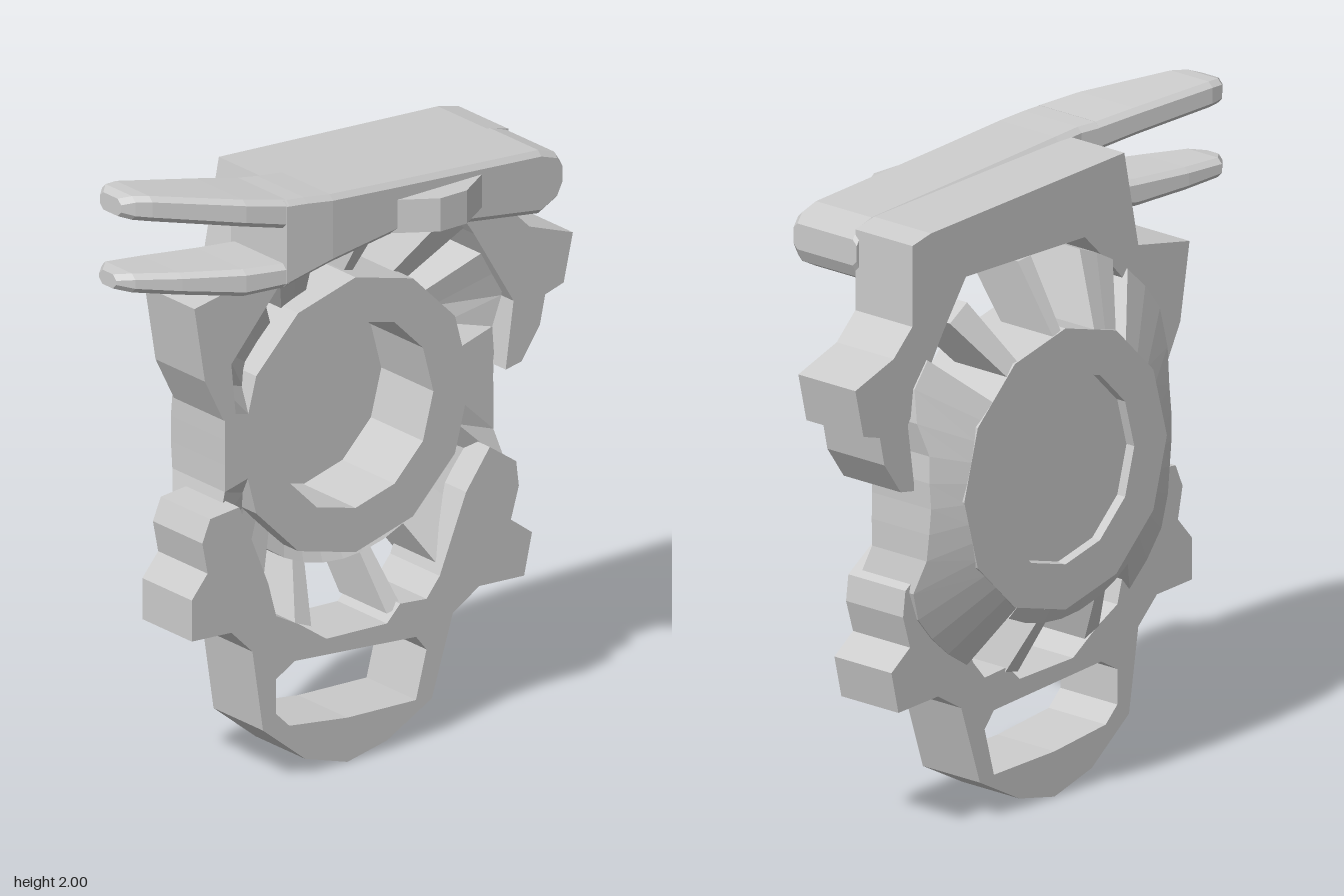
import * as THREE from 'three';

const mat = new THREE.MeshStandardMaterial({ color: 0xcccccc, flatShading: true });
const CU = 0.08, CY = 1.06; // hub centre, u = -z

function add(group, name, geo) {
  const m = new THREE.Mesh(geo, mat);
  m.name = name;
  group.add(m);
}

const vecs = (pts) => pts.map(([u, y]) => new THREE.Vector2(u, y));

// Side profile in (u = -z, y), extruded along x from x0 to x1
function slab(pts, x0, x1, holes = []) {
  const shape = new THREE.Shape(vecs(pts));
  holes.forEach((h) => shape.holes.push(new THREE.Path(vecs(h))));
  const g = new THREE.ExtrudeGeometry(shape, { depth: x1 - x0, bevelEnabled: false });
  return g.rotateY(Math.PI / 2).translate(x0, 0, 0);
}

const circle = (r, n = 12) => Array.from({ length: n }, (_, i) => {
  const a = (i / n) * Math.PI * 2;
  return [CU + r * Math.cos(a), CY + r * Math.sin(a)];
});

// Solid through matching cross-section loops, capped at both ends
function loft(sections) {
  const pos = [], n = sections[0].length;
  const tri = (a, b, c) => pos.push(...a, ...b, ...c);
  for (let i = 0; i + 1 < sections.length; i++) {
    const p = sections[i], q = sections[i + 1];
    for (let k = 0; k < n; k++) {
      const j = (k + 1) % n;
      tri(p[k], q[k], q[j]);
      tri(p[k], q[j], p[j]);
    }
  }
  const first = sections[0], last = sections[sections.length - 1];
  for (let k = 1; k + 1 < n; k++) {
    tri(first[0], first[k], first[k + 1]);
    tri(last[0], last[k + 1], last[k]);
  }
  const g = new THREE.BufferGeometry();
  g.setAttribute('position', new THREE.Float32BufferAttribute(pos, 3));
  g.computeVertexNormals();
  return g;
}

// Piecewise linear lookup through [key, value] pairs
function ramp(t, pts) {
  if (t <= pts[0][0]) return pts[0][1];
  for (let i = 1; i < pts.length; i++) {
    if (t <= pts[i][0]) {
      const [a, va] = pts[i - 1], [b, vb] = pts[i];
      return va + ((vb - va) * (t - a)) / (b - a);
    }
  }
  return pts[pts.length - 1][1];
}

// Sloped sector between the hub ring and the frame, drawn in at both sides
function sector(a0, a1, rMax = 0.64) {
  const n = Math.max(1, Math.round((a1 - a0) / 9));
  return loft(Array.from({ length: n + 1 }, (_, i) => {
    const a = THREE.MathUtils.degToRad(a0 + ((a1 - a0) * i) / n);
    const c = Math.cos(a), s = Math.sin(a);
    const tilt = THREE.MathUtils.radToDeg(Math.asin(Math.abs(s)));
    const R = Math.min(rMax, ramp(tilt, [[0, c < 0 ? 0.49 : 0.52], [17, c < 0 ? 0.515 : 0.54], [30, 0.63], [90, 0.64]]));
    const xOut = -0.33 + ((R - 0.43) / 0.21) * 0.12;
    const xIn = ramp(tilt, [[17, -0.04], [27, -0.12]]);
    const xRim = ramp(tilt, [[17, -0.04], [27, -0.12 + ((R - 0.42) / 0.22) * 0.13]]);
    return [[0.42, -0.33], [R, xOut], [R, xRim], [0.42, xIn]]
      .map(([r, x]) => [x, CY + r * s, -(CU + r * c)]);
  }));
}

// Arm piece with chamfered edges from [z, y0, y1] stations
function armPiece(stations) {
  return loft(stations.map(([z, y0, y1]) => {
    const x0 = ramp(z, [[0.32, 0.005], [0.78, -0.115], [0.82, -0.115], [0.86, -0.08]]);
    const x1 = ramp(z, [[0.25, 0.26], [0.42, 0.24], [0.53, 0.2], [0.8, 0.06], [0.86, 0]]);
    const c = 0.016;
    return [
      [x0, y0 + c], [x0, y1 - c], [x0 + c, y1], [x1 - c, y1],
      [x1, y1 - c], [x1, y0 + c], [x1 - c, y0], [x0 + c, y0],
    ].map(([x, y]) => [x, y, z]);
  }));
}

export function createModel() {
  const model = new THREE.Group();
  model.name = 'bracket';

  // Upper arch of the frame
  add(model, 'upperFrame', slab([
    [-0.42, 1.17], [-0.44, 1.37], [-0.27, 1.56], [-0.13, 1.7], [0.38, 1.7], [0.48, 1.55],
    [0.63, 1.3], [0.6, 1.09], [0.66, 1.1], [0.73, 1.2], [0.75, 1.29], [0.82, 1.31],
    [0.855, 1.46], [0.69, 1.52], [0.61, 1.6], [0.61, 1.85], [0.53, 1.87], [-0.3, 1.92],
    [-0.36, 1.62], [-0.58, 1.58], [-0.54, 1.34], [-0.47, 1.2],
  ], -0.21, 0.02));

  // Lower frame with its slot
  add(model, 'lowerFrame', slab([
    [-0.41, 0.91], [-0.52, 0.9], [-0.55, 0.83], [-0.53, 0.73], [-0.59, 0.66], [-0.59, 0.53],
    [-0.44, 0.52], [-0.36, 0.44], [-0.32, 0.18], [-0.16, 0.05], [0, 0], [0.15, 0.03],
    [0.32, 0.12], [0.4, 0.37], [0.5, 0.43], [0.67, 0.42], [0.7, 0.55], [0.62, 0.61],
    [0.65, 0.71], [0.64, 0.79], [0.54, 0.86], [0.45, 0.74], [0.35, 0.5], [0.3, 0.44],
    [0.2, 0.45], [0.15, 0.4], [-0.08, 0.41], [-0.18, 0.48], [-0.27, 0.53], [-0.3, 0.64],
  ], -0.21, 0.02, [[
    [-0.27, 0.33], [-0.2, 0.37], [0.26, 0.33], [0.3, 0.28], [0.26, 0.13], [0, 0.14],
    [-0.22, 0.17], [-0.27, 0.22],
  ]]));

  // Hub ring and the slightly recessed disc inside it
  add(model, 'hubRing', slab(circle(0.435), -0.33, -0.04, [circle(0.295)]));
  add(model, 'hubDisc', slab(circle(0.293), -0.3, -0.28));

  // Solid hub sides, lower collar and the spokes between the windows
  add(model, 'hubSideFront', sector(128, 231));
  add(model, 'hubSideRear', sector(-62, 42));
  add(model, 'hubCollar', sector(231, 298, 0.47));
  [[54, 62], [83, 88], [107, 121], [245, 251], [277, 282]].forEach(([a, b]) =>
    add(model, 'spoke', sector(a, b)));

  // Two-pronged arm, bent and narrowed toward the tips
  add(model, 'armBody', armPiece([
    [-0.62, 1.74, 1.82], [-0.6, 1.7, 1.85], [-0.54, 1.67, 1.87], [-0.2, 1.72, 1.895],
    [0, 1.75, 1.91], [0.25, 1.715, 1.93], [0.34, 1.69, 1.94], [0.41, 1.67, 1.945],
  ]));
  add(model, 'upperProng', armPiece([
    [0.4, 1.855, 1.945], [0.53, 1.88, 1.965], [0.78, 1.92, 2], [0.82, 1.925, 2], [0.85, 1.935, 1.99],
  ]));
  add(model, 'lowerProng', armPiece([
    [0.4, 1.67, 1.745], [0.53, 1.66, 1.745], [0.7, 1.68, 1.75], [0.82, 1.695, 1.755], [0.86, 1.705, 1.75],
  ]));

  // Small raised boss on the outer side of the arm
  add(model, 'armBoss', loft([[-0.33, 0.25], [-0.2, 0.33], [-0.1, 0.33], [0.02, 0.25]].map(([z, x]) =>
    [[0.2, 1.75, z], [0.2, 1.855, z], [x, 1.855, z], [x, 1.75, z]])));

  return model;
}
